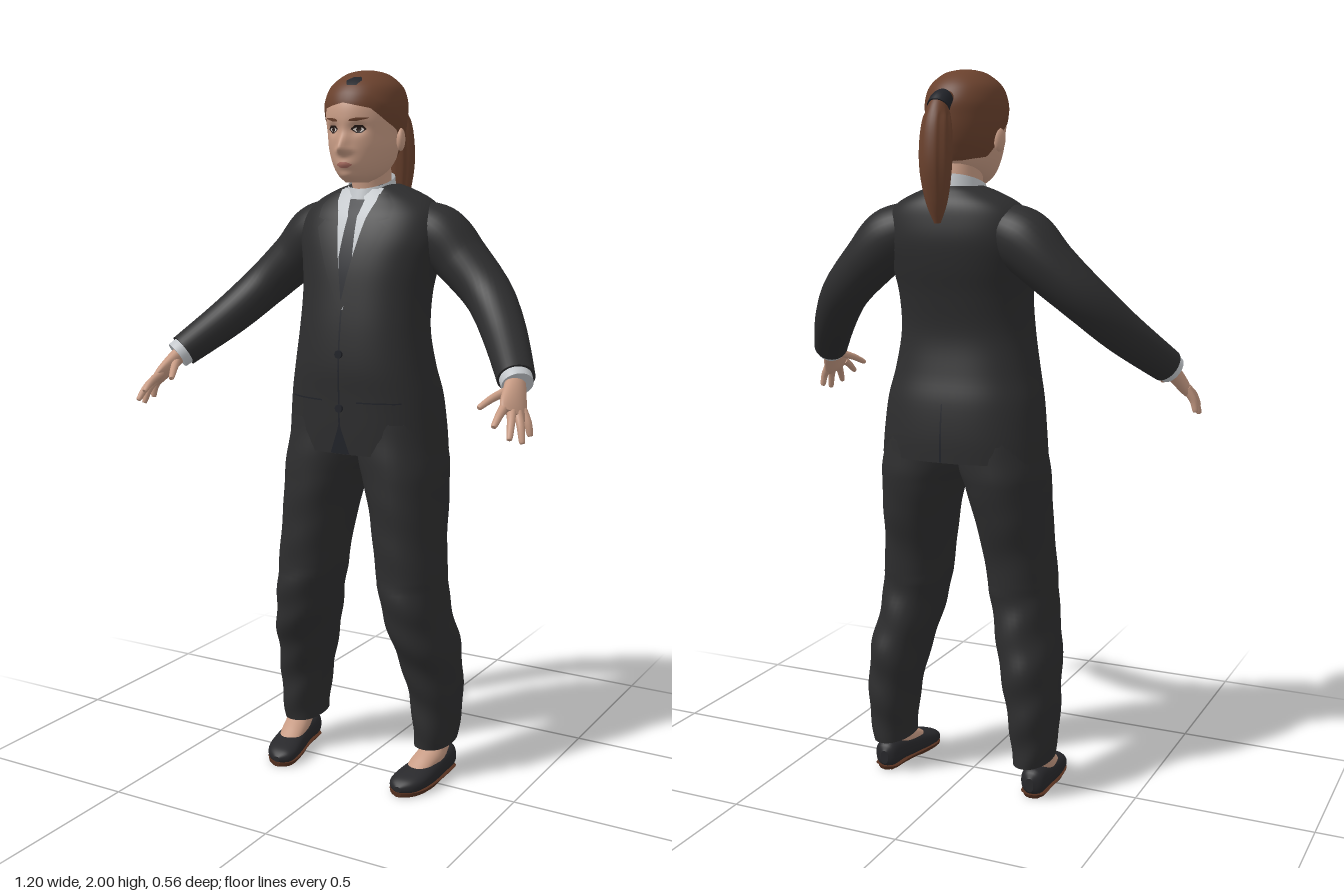
import * as THREE from 'three';

const V = (x, y, z) => new THREE.Vector3(x, y, z);
const clamp = THREE.MathUtils.clamp;
const gauss = (d, s) => Math.exp(-((d / s) ** 2));
const paint = (name, color, side = THREE.DoubleSide) => {
  const m = new THREE.MeshStandardMaterial({ color, side });
  m.name = name;
  return m;
};

// smooth interpolation through rows of numbers; t counts rows
function sample(rows, t) {
  t = clamp(t, 0, rows.length - 1);
  const i = Math.min(Math.floor(t), rows.length - 2), f = t - i;
  const r = k => rows[clamp(i + k, 0, rows.length - 1)];
  return rows[0].map((_, c) => {
    const a = r(-1)[c], b = r(0)[c], d = r(1)[c], e = r(2)[c];
    return b + 0.5 * f * (d - a + f * (2 * a - 5 * b + 4 * d - e + f * (3 * (b - d) + e - a)));
  });
}
// row parameter at height y (column 1 rises)
function tAt(rows, y) {
  let lo = 0, hi = rows.length - 1;
  for (let i = 0; i < 30; i++) {
    const m = (lo + hi) / 2;
    if (sample(rows, m)[1] < y) lo = m; else hi = m;
  }
  return lo;
}
// straight interpolation in a table keyed by its first column
function table(rows, k) {
  let i = 0;
  while (i < rows.length - 2 && k > rows[i + 1][0]) i++;
  const f = clamp((k - rows[i][0]) / (rows[i + 1][0] - rows[i][0]), 0, 1);
  return rows[i].map((a, c) => a + (rows[i + 1][c] - a) * f);
}

// grid surface from f(u, v), optionally wrapped around and capped
function surface(f, nu, nv, closed = false, caps = false) {
  const pos = [], idx = [], cols = closed ? nu : nu + 1;
  for (let j = 0; j <= nv; j++) for (let i = 0; i < cols; i++) pos.push(...f(i / nu, j / nv).toArray());
  for (let j = 0; j < nv; j++) for (let i = 0; i < nu; i++) {
    const a = j * cols + i, b = j * cols + (i + 1) % cols;
    idx.push(a, b, b + cols, a, b + cols, a + cols);
  }
  if (caps) for (const v of [0, 1]) {
    const start = pos.length / 3, mid = V(0, 0, 0);
    for (let i = 0; i < nu; i++) {
      const p = f(i / nu, v);
      mid.addScaledVector(p, 1 / nu);
      pos.push(...p.toArray());
    }
    pos.push(...mid.toArray());
    for (let i = 0; i < nu; i++) {
      const a = start + i, b = start + (i + 1) % nu;
      idx.push(start + nu, v ? a : b, v ? b : a);
    }
  }
  const g = new THREE.BufferGeometry();
  g.setAttribute('position', new THREE.Float32BufferAttribute(pos, 3));
  g.setIndex(idx);
  g.computeVertexNormals();
  return g;
}

const power = (v, p) => Math.sign(v) * Math.abs(v) ** (2 / p);
// body through rows [x, y, z, wide radius, deep radius]
function loft(rows, { wide = [1, 0, 0], axis, p = 2, n = 32, k = 5, tweak } = {}) {
  const last = rows.length - 1;
  return surface((u, v) => {
    const t = v * last, [x, y, z, ra, rb] = sample(rows, t), a = u * Math.PI * 2;
    const T = axis ? V(...axis) : V(...sample(rows, t + 0.05)).sub(V(...sample(rows, t - 0.05))).normalize();
    const W = V(...wide);
    W.addScaledVector(T, -W.dot(T)).normalize();
    const C = W.clone().cross(T);
    const q = V(x, y, z).addScaledVector(W, ra * power(Math.sin(a), p)).addScaledVector(C, rb * power(Math.cos(a), p));
    if (tweak) tweak(q, a);
    return q;
  }, n, last * k, true, true);
}
// rows [y, x0, x1, z0, z1] to loft rows
const slabs = rows => rows.map(([y, a, b, c, d]) => [(a + b) / 2, y, (c + d) / 2, (b - a) / 2, (d - c) / 2]);

// z of a lofted body at (x, y)
function bodyZ(rows, p, x, y, side = 1) {
  const [cx, , cz, rx, rz] = sample(rows, tAt(rows, y));
  return cz + side * rz * Math.max(0, 1 - Math.abs((x - cx) / rx) ** p) ** (1 / p);
}
// thin plate lying on a body; outline rows [y, xLeft, xRight]
function plate(zOf, outline, lift, nu = 8, nv = 24) {
  const y0 = outline[0][0], y1 = outline[outline.length - 1][0];
  return surface((u, v) => {
    const y = y0 + (y1 - y0) * v, [, a, b] = table(outline, y), x = a + (b - a) * u;
    return V(x, y, zOf(x, y) + lift);
  }, nu, nv);
}
function mirror(geo) {
  const g = geo.clone().scale(-1, 1, 1), i = g.index.array;
  for (let k = 0; k < i.length; k += 3) [i[k], i[k + 1]] = [i[k + 1], i[k]];
  g.computeVertexNormals();
  return g;
}

const Y = [0, 1, 0];
const JACKET = slabs([[0.96, 0.238, -0.215, 0.1], [1.03, 0.232, -0.215, 0.103], [1.12, 0.222, -0.205, 0.105],
  [1.2, 0.205, -0.185, 0.108], [1.3, 0.19, -0.17, 0.1], [1.4, 0.188, -0.185, 0.085], [1.48, 0.2, -0.205, 0.07],
  [1.55, 0.215, -0.215, 0.05], [1.61, 0.205, -0.21, 0.025], [1.65, 0.17, -0.2, 0], [1.68, 0.11, -0.18, -0.02],
  [1.695, 0.065, -0.165, -0.03]].map(([y, w, b, f]) => [y, -w, w, b, f]));
const HEAD = slabs([[1.7, 0.028, -0.03, 0.045], [1.72, 0.055, -0.09, 0.066], [1.75, 0.075, -0.13, 0.079],
  [1.79, 0.09, -0.15, 0.083], [1.83, 0.097, -0.163, 0.083], [1.87, 0.102, -0.168, 0.086], [1.91, 0.102, -0.168, 0.079],
  [1.95, 0.09, -0.15, 0.055], [1.98, 0.058, -0.115, 0.015], [1.991, 0.028, -0.08, -0.02], [1.994, 0, -0.05, -0.05]]
  .map(([y, w, b, f]) => [y, -w, w, b, f]));
const LEG = slabs([[0.1, 0.168, 0.272, -0.16, 0.02], [0.2, 0.158, 0.286, -0.17, 0.025], [0.3, 0.14, 0.286, -0.175, 0.04],
  [0.4, 0.118, 0.28, -0.175, 0.075], [0.5, 0.093, 0.262, -0.152, 0.1], [0.6, 0.072, 0.256, -0.143, 0.1],
  [0.7, 0.058, 0.247, -0.155, 0.1], [0.8, 0.04, 0.242, -0.182, 0.1], [0.88, 0.018, 0.24, -0.195, 0.1],
  [0.94, -0.002, 0.236, -0.2, 0.095], [1.05, -0.01, 0.215, -0.19, 0.085]]);
const SHOE = [[0.23, 0.04, -0.13, 0.012, 0.02], [0.232, 0.045, -0.11, 0.035, 0.038], [0.23, 0.042, -0.05, 0.04, 0.036],
  [0.222, 0.036, 0.02, 0.048, 0.034], [0.212, 0.03, 0.08, 0.05, 0.026], [0.205, 0.025, 0.115, 0.038, 0.02],
  [0.203, 0.022, 0.135, 0.01, 0.008]];

// nose, eye sockets, lips and chin
const relief = (x, y) => 0.026 * gauss(x, 0.013 + 0.006 * gauss(y - 1.782, 0.012)) * gauss(y - 1.79, y > 1.79 ? 0.032 : 0.014)
  - 0.011 * gauss(Math.abs(x) - 0.038, 0.02) * gauss(y - 1.842, 0.015)
  + 0.006 * gauss(x, 0.024) * gauss(y - 1.748, 0.012) + 0.006 * gauss(x, 0.025) * gauss(y - 1.718, 0.012);
const faceZ = (x, y) => bodyZ(HEAD, 2, x, y) + relief(x, y);
const chestZ = (x, y) => bodyZ(JACKET, 2.3, x, y);
const backZ = (x, y) => bodyZ(JACKET, 2.3, x, y, -1);

export function createModel() {
  const model = new THREE.Group();
  model.name = 'figure';
  const suit = paint('charcoal suit', 0x2d2d2e), shoe = paint('black shoe', 0x28282b), sole = paint('brown sole', 0x55301f);
  const skin = paint('skin', 0xc79b84), hair = paint('brown hair', 0x6a412d), shirt = paint('pale shirt', 0xc3c7cb);
  const tie = paint('dark tie', 0x212329), lip = paint('lips', 0xa96c60), dark = paint('dark eye', 0x2a1c18), white = paint('eye white', 0xd8cfc8);
  const add = (name, geo, mat) => {
    const m = new THREE.Mesh(geo, mat);
    m.name = name;
    model.add(m);
  };
  const pair = (name, geo, mat) => {
    add('left ' + name, geo, mat);
    add('right ' + name, mirror(geo), mat);
  };

  // suit
  add('jacket', loft(JACKET, { axis: Y, p: 2.3, n: 64 }), suit);
  pair('trouser leg', loft(LEG, {
    axis: Y, p: 2.2, n: 40, k: 8,
    tweak: (q, a) => { q.z += 0.004 * Math.sin(q.y * 48 + 2 * a) * (q.y < 0.6 ? 1 : 0.3); },
  }), suit);
  pair('sleeve', loft([[0.12, 1.585, -0.1, 0.07, 0.075], [0.195, 1.553, -0.11, 0.085, 0.085], [0.27, 1.485, -0.108, 0.074, 0.078],
    [0.36, 1.4, -0.08, 0.065, 0.068], [0.44, 1.31, -0.005, 0.058, 0.06], [0.525, 1.215, 0.11, 0.047, 0.05]], { wide: Y, k: 8 }), suit);
  pair('lapel', plate(chestZ, [[1.36, -0.004, 0.004], [1.45, 0.012, 0.05], [1.58, 0.038, 0.108], [1.6, 0.042, 0.085],
    [1.605, 0.043, 0.112], [1.64, 0.055, 0.112], [1.67, 0.06, 0.085]], 0.012, 8, 48), suit);
  pair('pocket flap', plate(chestZ, [[1.085, 0.06, 0.175], [1.108, 0.055, 0.17]], 0.008), suit);
  pair('pocket seam', plate(chestZ, [[1.108, 0.054, 0.172], [1.112, 0.054, 0.172]], 0.008), tie);
  add('front edge', plate(chestZ, [[0.962, -0.03, 0.03], [1.04, -0.003, 0.002], [1.36, -0.003, 0.002]], 0.005), tie);
  add('back vent', plate(backZ, [[0.962, -0.003, 0.003], [1.12, -0.002, 0.002]], -0.004), tie);
  for (const y of [1.09, 1.24]) {
    const b = new THREE.CylinderGeometry(0.011, 0.011, 0.008, 16).rotateX(Math.PI / 2);
    add('button', b.translate(0, y, chestZ(0, y) + 0.006), tie);
  }

  // shirt and tie
  add('shirt front', plate(chestZ, [[1.36, -0.004, 0.004], [1.6, -0.05, 0.05], [1.685, -0.062, 0.062]], 0.005, 12, 40), shirt);
  add('tie', plate(chestZ, [[1.36, -0.003, 0.003], [1.5, -0.021, 0.021], [1.612, -0.014, 0.014], [1.618, -0.017, 0.017],
    [1.655, -0.023, 0.023]], 0.0095, 6, 40), tie);
  add('shirt collar', surface((u, v) => {
    const a = u * Math.PI * 2, r = 1 - 0.1 * v;
    return V(0.068 * r * Math.sin(a), 1.655 + v * (0.05 - 0.022 * Math.cos(a)), -0.073 + 0.084 * r * Math.cos(a));
  }, 40, 4, true), shirt);
  pair('collar point', plate(chestZ, [[1.625, 0.044, 0.05], [1.65, 0.026, 0.06], [1.682, 0.008, 0.062]], 0.014), shirt);
  pair('shirt cuff', loft([[0.52, 1.22, 0.104, 0.041, 0.043], [0.528, 1.211, 0.116, 0.041, 0.043], [0.536, 1.202, 0.126, 0.04, 0.042]], { wide: Y }), shirt);

  // hands
  pair('palm', loft([[0.525, 1.215, 0.112, 0.027, 0.024], [0.54, 1.182, 0.152, 0.036, 0.021], [0.552, 1.152, 0.186, 0.043, 0.017],
    [0.559, 1.137, 0.203, 0.038, 0.011]], { wide: [-0.05, 0.035, 0.105], n: 24 }), skin);
  const fingers = {
    thumb: [[0.522, 1.19, 0.15], [0.498, 1.174, 0.195], [0.48, 1.155, 0.23]],
    'index finger': [[0.537, 1.16, 0.205], [0.54, 1.142, 0.245], [0.54, 1.12, 0.275]],
    'middle finger': [[0.553, 1.148, 0.2], [0.567, 1.123, 0.234], [0.575, 1.09, 0.26]],
    'ring finger': [[0.563, 1.143, 0.185], [0.58, 1.113, 0.204], [0.59, 1.075, 0.216]],
    'little finger': [[0.567, 1.145, 0.163], [0.585, 1.115, 0.17], [0.592, 1.085, 0.171]],
  };
  for (const [name, [a, b, c]] of Object.entries(fingers)) {
    const tip = c.map((v, i) => v + (c[i] - b[i]) * 0.1);
    pair(name, loft([[...a, 0.0125, 0.012], [...b, 0.0105, 0.01], [...c, 0.008, 0.007], [...tip, 0.003, 0.003]], { n: 12, k: 4 }), skin);
  }

  // feet and shoes
  pair('foot', loft([[0.213, 0.045, 0.065, 0.03, 0.012], [0.22, 0.06, 0.02, 0.036, 0.024], [0.23, 0.085, -0.04, 0.038, 0.038],
    [0.232, 0.16, -0.07, 0.038, 0.045]]), skin);
  const along = { wide: [-1, 0, 0], axis: [0, 0, 1], p: 2.4 };
  pair('shoe', loft(SHOE, { ...along, tweak: q => { q.y = Math.max(q.y, 0.012); } }), shoe);
  pair('sole', loft(SHOE, { ...along, tweak: q => { q.y = clamp((q.y - 0.015) * 2, 0, 0.013); } }), sole);

  // head and face
  add('neck', loft(slabs([[1.63, -0.058, 0.058, -0.145, -0.015], [1.68, -0.053, 0.053, -0.138, -0.012],
    [1.73, -0.052, 0.052, -0.135, -0.005], [1.78, -0.055, 0.055, -0.13, 0]]), { axis: Y }), skin);
  add('head', loft(HEAD, {
    axis: Y, n: 96, k: 8,
    tweak: (q, a) => { if (Math.cos(a) > 0) q.z += relief(q.x, q.y); },
  }), skin);
  pair('ear', new THREE.SphereGeometry(1, 16, 12).scale(0.012, 0.031, 0.02).rotateY(0.3).translate(0.1, 1.815, -0.055), skin);
  pair('eyelid line', plate(faceZ, [[1.83, 0.034, 0.044], [1.841, 0.019, 0.058], [1.851, 0.03, 0.05]], 0.002, 8, 8), dark);
  pair('eye', plate(faceZ, [[1.833, 0.035, 0.043], [1.84, 0.024, 0.053], [1.845, 0.032, 0.047]], 0.003, 8, 6), white);
  pair('iris', plate(faceZ, [[1.833, 0.036, 0.042], [1.84, 0.032, 0.046], [1.846, 0.036, 0.043]], 0.004, 6, 6), dark);
  pair('eyebrow', plate(faceZ, [[1.861, 0.017, 0.034], [1.867, 0.02, 0.06], [1.871, 0.04, 0.066]], 0.002, 8, 6), hair);
  add('mouth', plate(faceZ, [[1.739, -0.01, 0.01], [1.748, -0.025, 0.025], [1.755, -0.009, 0.009]], 0.002, 12, 8), lip);

  // hair swept back to a ponytail
  const hairline = [[0, 1.905], [0.7, 1.89], [1.15, 1.855], [1.5, 1.835], [1.75, 1.8], [2.05, 1.765], [3.15, 1.742]];
  add('hair', surface((u, v) => {
    const a = u * Math.PI * 2, edge = tAt(HEAD, table(hairline, Math.min(a, Math.PI * 2 - a))[1]);
    const [, y, z, rx, rz] = sample(HEAD, edge + (HEAD.length - 1 - edge) * v);
    const s = 1.025 + 0.03 * Math.min(1, v * 6);
    return V(rx * s * Math.sin(a), y + 0.005, z + rz * s * Math.cos(a));
  }, 72, 40, true), hair);
  add('hair clip', plate((x, y) => bodyZ(HEAD, 2, x, y), [[1.955, 0.0, 0.025], [1.968, -0.012, 0.032], [1.978, 0.005, 0.025]], 0.013), tie);
  add('ponytail', loft([[0, 1.6, -0.228, 0.008, 0.008], [0, 1.66, -0.232, 0.028, 0.028], [0, 1.75, -0.236, 0.04, 0.042],
    [0, 1.84, -0.23, 0.038, 0.04], [0, 1.9, -0.217, 0.026, 0.026], [0, 1.918, -0.19, 0.02, 0.02], [0, 1.915, -0.15, 0.022, 0.022]], {
    n: 48, tweak: (q, a) => { if (q.y < 1.88) q.x *= 1 + 0.1 * Math.cos(9 * a); },
  }), hair);
  add('hair band', loft([[0, 1.895, -0.22, 0.03, 0.03], [0, 1.91, -0.206, 0.029, 0.028], [0, 1.919, -0.186, 0.025, 0.025]], { n: 24 }), tie);

  return model;
}
